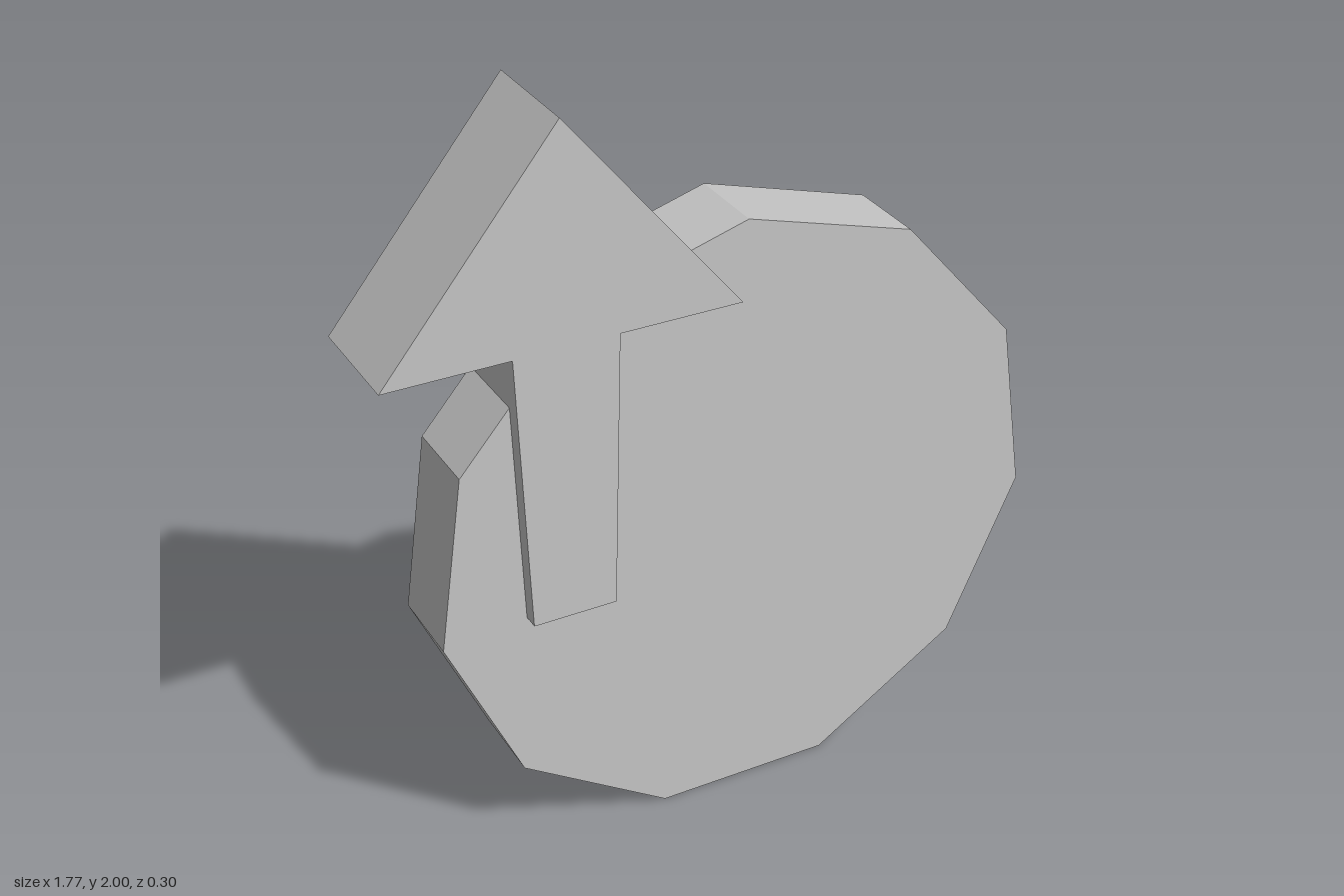
import * as THREE from 'three';

export function createModel() {
  const model = new THREE.Group();
  const grey = new THREE.MeshStandardMaterial({ color: 0xc4c4c4, flatShading: true });
  grey.name = 'light grey';

  // Eleven-sided disc standing on one flat side, with a corner straight up
  const radius = 0.831;
  const discGeometry = new THREE.CylinderGeometry(radius, radius, 0.22, 11);
  discGeometry.rotateX(-Math.PI / 2);
  const disc = new THREE.Mesh(discGeometry, grey);
  disc.name = 'disc';
  disc.position.set(0.063, radius * Math.cos(Math.PI / 11), 0);
  model.add(disc);

  // Upright arrow, thicker than the disc, with a shaft that narrows downwards
  const depth = 0.304;
  const half = [[0.11, 0.705], [0.135, 1.44], [0.456, 1.44]];
  const outline = [
    ...half,
    [0, 2],
    ...half.map(([x, y]) => [-x, y]).reverse(),
  ].map(([x, y]) => new THREE.Vector2(x, y));
  const arrowGeometry = new THREE.ExtrudeGeometry(new THREE.Shape(outline), { depth, bevelEnabled: false });
  const arrow = new THREE.Mesh(arrowGeometry, grey);
  arrow.name = 'arrow';
  arrow.position.set(-0.43, 0, -depth / 2);
  model.add(arrow);

  return model;
}
